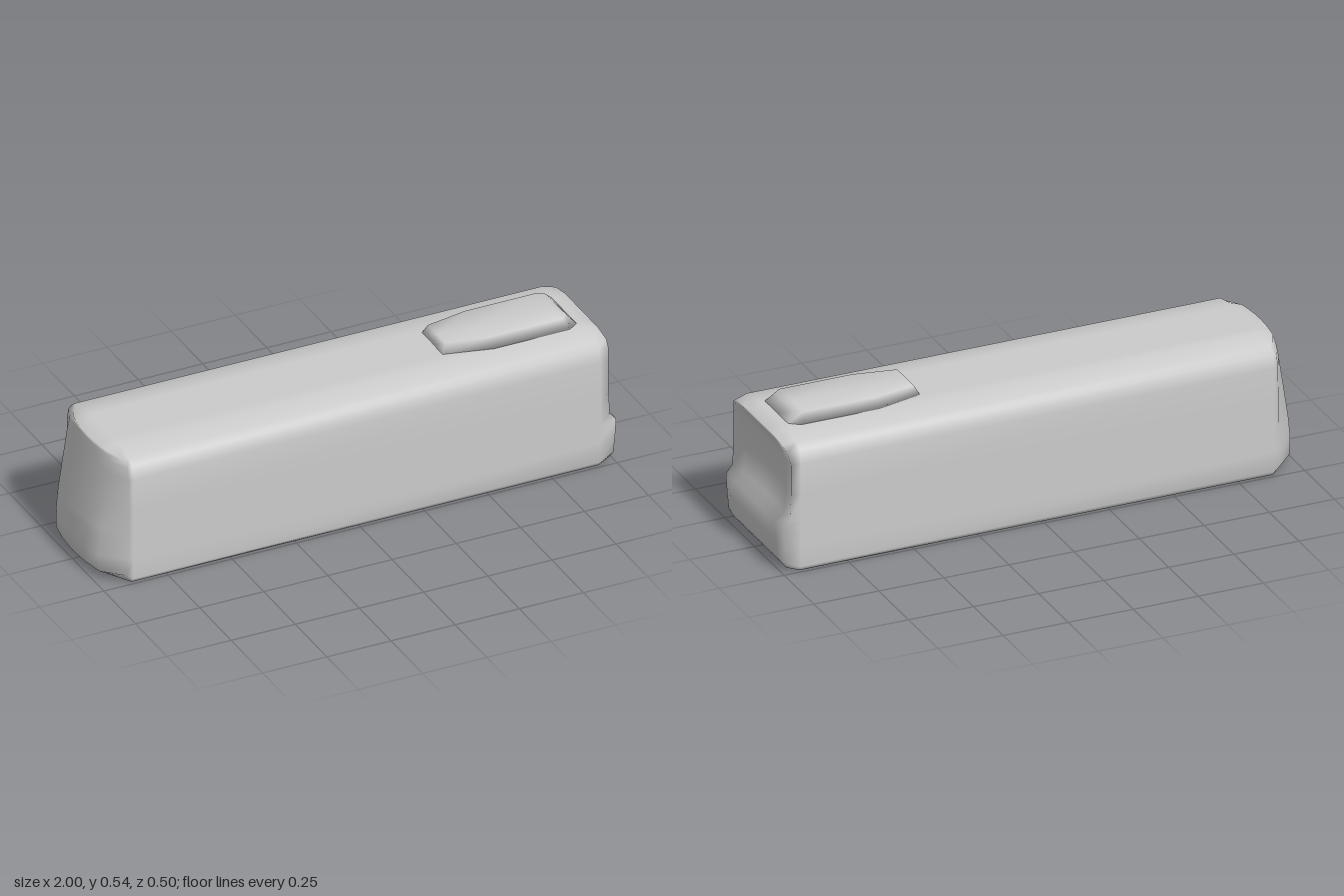
import * as THREE from 'three';
import { mergeVertices } from 'three/addons/utils/BufferGeometryUtils.js';

const material = new THREE.MeshStandardMaterial({ color: 0xcccccc });

// Subdivided box whose grid points (i, j, k) are placed by a rule; smooth normals
function gridSolid(name, nx, ny, nz, place) {
  const box = new THREE.BoxGeometry(1, 1, 1, nx, ny, nz);
  box.deleteAttribute('uv');
  box.deleteAttribute('normal');
  const geometry = mergeVertices(box, 1e-4);
  const p = geometry.attributes.position;
  for (let n = 0; n < p.count; n++) {
    const i = Math.round((p.getX(n) + 0.5) * nx);
    const j = Math.round((p.getY(n) + 0.5) * ny);
    const k = Math.round((p.getZ(n) + 0.5) * nz);
    p.setXYZ(n, ...place(i, j, k));
  }
  geometry.computeVertexNormals();
  const mesh = new THREE.Mesh(geometry, material);
  mesh.name = name;
  return mesh;
}

// Body rows from bottom to top: [height, half width]
const middle = [[0, 0.235], [0.02, 0.25], [0.1, 0.25], [0.17, 0.25], [0.2, 0.25],
  [0.3, 0.25], [0.42, 0.25], [0.47, 0.238], [0.49, 0.21], [0.507, 0.13]];

// End rows: [height, half width, x at the centre or rim, scoop depth]
const lipEnd = [[0.015, 0.225, 0.98, 0], [0.04, 0.24, 0.99, 0], [0.1, 0.243, 0.995, 0],
  [0.175, 0.243, 1, 0], [0.205, 0.243, 0.975, 0.02], [0.3, 0.243, 0.97, 0.025],
  [0.42, 0.243, 0.97, 0.015], [0.46, 0.228, 0.978, 0.005], [0.48, 0.2, 0.983, 0], [0.49, 0.13, 0.985, 0]];
const bowedEnd = [[0.015, 0.23, -0.97], [0.035, 0.245, -1], [0.1, 0.247, -1],
  [0.17, 0.247, -0.994], [0.2, 0.247, -0.99], [0.3, 0.247, -0.975],
  [0.42, 0.245, -0.956], [0.46, 0.233, -0.95], [0.48, 0.205, -0.946], [0.49, 0.13, -0.944]];

const columns = [-1, -0.7, -0.35, 0, 0.35, 0.7, 1];

function placeBody(i, j, k) {
  const t = columns[k];
  if (i === 0) {
    // bowed end: gentle curve, then chamfered corners
    const [y, w, x] = bowedEnd[j];
    const z = t * w, a = Math.abs(z);
    const bow = a < 0.172 ? 0.02 * (a / 0.172) ** 2 : 0.02 + (a - 0.172);
    return [Math.min(x + bow, -0.9), y, z];
  }
  if (i === 3) {
    // opposite end: scooped panel above a lip
    const [y, w, x, scoop] = lipEnd[j];
    return [x - scoop * (1 - t * t), y, t * w];
  }
  const [y, w] = middle[j];
  return [i === 1 ? -0.885 : 0.935, y, t * w];
}

// Slider outline: [base x, base half width, top x, top half width]
const slider = [[0.4, 0.085, 0.42, 0.07], [0.58, 0.13, 0.58, 0.1],
  [0.88, 0.13, 0.86, 0.1], [0.92, 0.1, 0.885, 0.08]];

function placeSlider(i, j, k) {
  const [bx, bw, tx, tw] = slider[i];
  return j === 0 ? [bx, 0.503, (k - 1) * bw] : [tx, 0.541, (k - 1) * tw];
}

export function createModel() {
  const group = new THREE.Group();
  group.name = 'model';
  group.add(gridSolid('body', 3, middle.length - 1, columns.length - 1, placeBody));
  group.add(gridSolid('topSlider', 3, 1, 2, placeSlider));
  return group;
}
